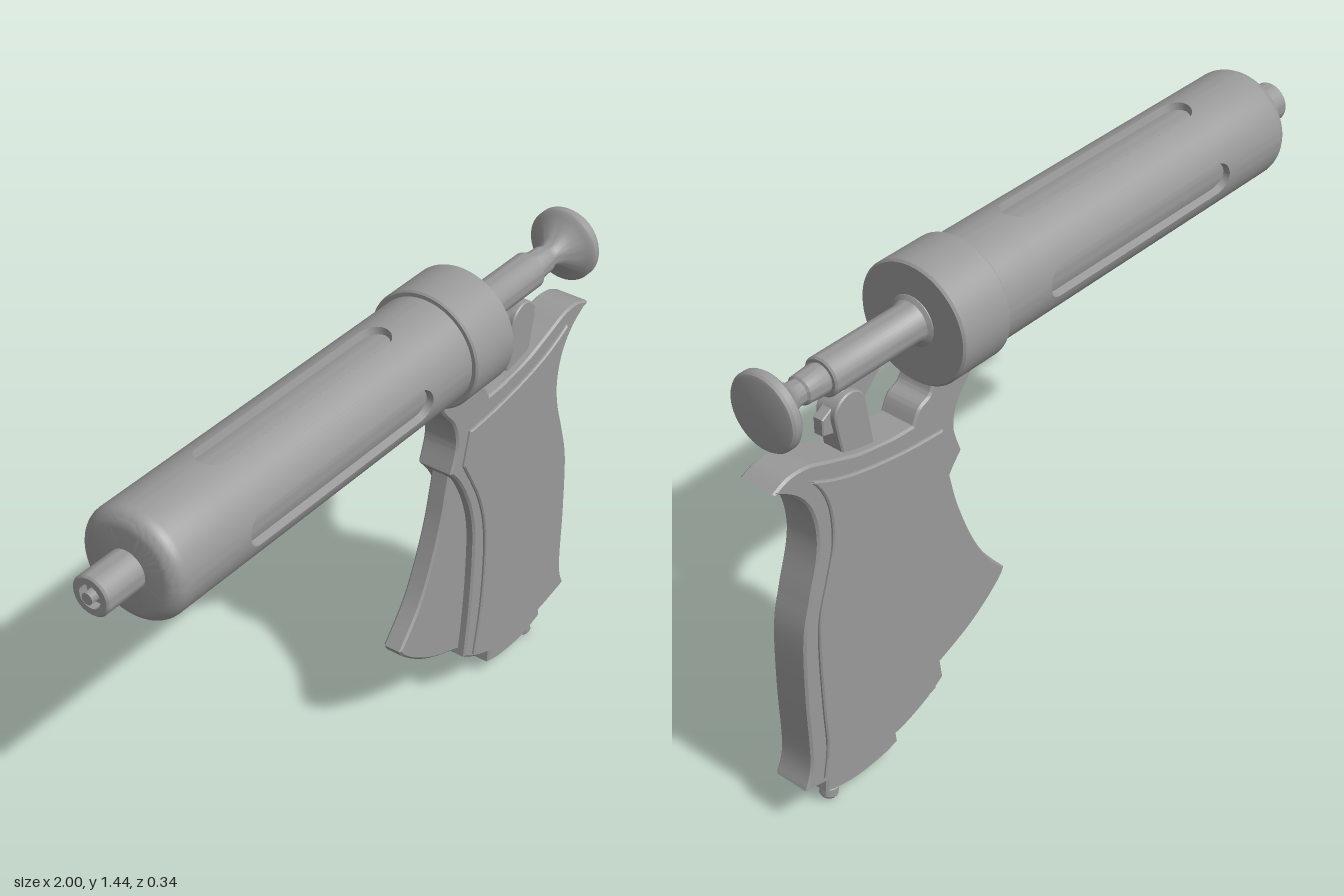
import * as THREE from 'three';
import { toCreasedNormals, mergeGeometries } from 'three/addons/utils/BufferGeometryUtils.js';
import { ParametricGeometry } from 'three/addons/geometries/ParametricGeometry.js';

const metal = new THREE.MeshStandardMaterial({ color: 0x999999 });
const metalDouble = new THREE.MeshStandardMaterial({ color: 0x999999, side: THREE.DoubleSide });

function part(name, geometry, material = metal) {
  const mesh = new THREE.Mesh(geometry, material);
  mesh.name = name;
  return mesh;
}

// Turned part along x; profile is [x, radius] running towards +x
function turned(name, profile, y = 0, segments = 96) {
  const geo = new THREE.LatheGeometry(profile.map(([x, r]) => new THREE.Vector2(r, x)), segments);
  geo.rotateZ(-Math.PI / 2);
  const mesh = part(name, toCreasedNormals(geo, 0.6));
  mesh.position.y = y;
  return mesh;
}

// Closed outline: smooth runs of points that meet at sharp corners
function outline(runs) {
  const shape = new THREE.Shape();
  shape.moveTo(...runs[0][0]);
  runs.forEach((run, i) => {
    const end = runs[(i + 1) % runs.length][0];
    const pts = [...run.slice(1), end].map(p => new THREE.Vector2(...p));
    if (pts.length === 1) shape.lineTo(...end);
    else shape.splineThru(pts);
  });
  return shape;
}

// Flat plate centred on z = 0 with a small crisp chamfer
function plate(name, shape, half, bevel = 0.006) {
  const geo = new THREE.ExtrudeGeometry(shape, {
    depth: 2 * (half - bevel), bevelThickness: bevel, bevelSize: bevel,
    bevelOffset: -bevel, bevelSegments: 1, curveSegments: 8,
  });
  geo.translate(0, 0, bevel - half);
  return part(name, toCreasedNormals(geo, 0.5));
}

// A quarter of the barrel wall with one round-ended slot cut through it
function slottedQuarter(R, inner, x0, x1) {
  const w = 0.045, ca = -0.555, cb = 0.08;
  const on = (x, s, r, out) => {
    const a = Math.asin(s / R);
    out.set(x, r * Math.cos(a), r * Math.sin(a));
  };
  const edge = Math.asin(w / R);
  const angle = t => Math.PI * (t - 0.5);
  const left = (u, v, out) => {
    const a = angle(u), xa = ca - w * Math.cos(a);
    on(x0 + (xa - x0) * v, w * Math.sin(a), R, out);
  };
  const right = (u, v, out) => {
    const a = angle(u), xb = cb + w * Math.cos(a);
    on(xb + (x1 - xb) * v, w * Math.sin(a), R, out);
  };
  const side = (u, v, out) => {
    const a = edge + (Math.PI / 2 - 2 * edge) * u;
    out.set(x0 + (x1 - x0) * v, R * Math.cos(a), R * Math.sin(a));
  };
  const rim = (u, v, out) => {
    const a = u * Math.PI * 2;
    on((Math.cos(a) < 0 ? ca : cb) + w * Math.cos(a), w * Math.sin(a), R + (inner - R) * v, out);
  };
  return mergeGeometries([
    new ParametricGeometry(left, 16, 1), new ParametricGeometry(right, 16, 1),
    new ParametricGeometry(side, 14, 1), new ParametricGeometry(rim, 50, 1),
  ]);
}

export function createModel() {
  const model = new THREE.Group();
  const axis = 1.276, R = 0.153, x0 = -0.64, x1 = 0.16;

  // Barrel: solid ends lapping under the slotted middle, and the inner tube seen in the slots
  const barrel = new THREE.Group();
  barrel.name = 'barrel';
  barrel.position.y = axis;
  const front = [[-0.863, 0], [-0.863, 0.109]];
  for (let i = 1; i <= 8; i++) {
    const a = (i / 8) * Math.PI / 2;
    front.push([-0.82 - 0.043 * Math.cos(a), 0.109 + 0.044 * Math.sin(a)]);
  }
  barrel.add(turned('barrelFront', [...front, [x0, R], [x0 + 0.02, R - 0.001]]));
  barrel.add(turned('barrelRear', [[x1 - 0.02, R - 0.001], [x1, R], [0.3, R]]));
  barrel.add(turned('innerTube', [[-0.7, 0.132], [0.2, 0.132]]));
  const quarter = slottedQuarter(R, 0.13, x0, x1);
  for (let i = 0; i < 4; i++) {
    const wall = part('slottedWall', quarter, metalDouble);
    wall.rotation.x = i * Math.PI / 2;
    barrel.add(wall);
  }
  // Nozzle with a recessed mouth and centre pin
  barrel.add(turned('nozzle', [[-1, 0], [-1, 0.016], [-0.965, 0.016], [-0.965, 0.032],
    [-0.99, 0.032], [-0.99, 0.05], [-0.985, 0.055], [-0.86, 0.055]], 0, 40));
  barrel.add(turned('collar', [[0.293, 0.14], [0.293, 0.164], [0.298, 0.169], [0.456, 0.169],
    [0.462, 0.163], [0.462, 0]]));
  model.add(barrel);

  // Plunger rod and thumb knob
  model.add(turned('plungerRod', [[0.455, 0.072], [0.464, 0.069], [0.471, 0.058], [0.483, 0.053],
    [0.772, 0.053], [0.777, 0.048], [0.777, 0]], 1.286, 40));
  model.add(turned('plungerKnob', [[0.77, 0.038], [0.785, 0.042], [0.845, 0.038], [0.85, 0.032],
    [0.872, 0.033], [0.89, 0.043], [0.91, 0.064], [0.932, 0.09], [0.936, 0.1], [0.942, 0.105],
    [0.96, 0.105], [0.967, 0.1], [0.97, 0.09], [0.97, 0]], 1.286, 48));

  // Grip frame, hung from the collar
  model.add(plate('gripFrame', outline([
    [[0.29, 1.16]],
    [[0.295, 1.12], [0.32, 1.08], [0.366, 1.02], [0.38, 0.95]],
    [[0.356, 0.87], [0.4, 0.815], [0.447, 0.72], [0.473, 0.61], [0.473, 0.45], [0.462, 0.3]],
    [[0.447, 0.18], [0.516, 0.14], [0.607, 0.11], [0.714, 0.098], [0.837, 0.11]],
    [[0.962, 0.137], [0.938, 0.22], [0.94, 0.425], [0.934, 0.61], [0.908, 0.72], [0.876, 0.826],
      [0.868, 0.906], [0.885, 0.987], [0.928, 1.05]],
    [[1, 1.1], [0.949, 1.12], [0.885, 1.118], [0.81, 1.092], [0.703, 1.056], [0.61, 1.04]],
    [[0.527, 1.035], [0.505, 1.075], [0.468, 1.094]],
    [[0.455, 1.12]],
    [[0.455, 1.16]],
  ]), 0.056));

  // Raised panel on both faces of the grip
  model.add(plate('gripPanels', outline([
    [[0.43, 0.975], [0.57, 0.987], [0.714, 1.013], [0.81, 1.042]],
    [[0.89, 1.08], [0.85, 1.024], [0.827, 0.95], [0.826, 0.853], [0.853, 0.757], [0.883, 0.66],
      [0.892, 0.56], [0.89, 0.37], [0.886, 0.24]],
    [[0.902, 0.145], [0.783, 0.122], [0.65, 0.126], [0.57, 0.144]],
    [[0.484, 0.17], [0.51, 0.32], [0.521, 0.48], [0.514, 0.61], [0.479, 0.73]],
    [[0.404, 0.874]],
  ]), 0.065, 0.004));

  // Trigger blade in front of the grip
  model.add(plate('trigger', outline([
    [[0.385, 0.85], [0.37, 0.78], [0.345, 0.68], [0.3, 0.56], [0.249, 0.463]],
    [[0.17, 0.366], [0.187, 0.34], [0.249, 0.29], [0.33, 0.243]],
    [[0.46, 0.192]],
    [[0.5, 0.3]],
    [[0.5, 0.7]],
  ]), 0.03));

  // Rocking lever with a rounded head, and the thin pawl that reaches the rod
  const lever = new THREE.Shape();
  lever.moveTo(0.635, 1.0);
  lever.lineTo(0.735, 1.0);
  lever.absarc(0.714, 1.172, 0.053, -0.1, Math.PI - 0.1, false);
  lever.closePath();
  model.add(plate('lever', lever, 0.033, 0.004));
  model.add(plate('pawl', outline([[[0.575, 1.245]], [[0.7, 1.12]], [[0.75, 1.12]],
    [[0.793, 1.132]], [[0.793, 1.178]], [[0.755, 1.2]], [[0.7, 1.245]]]), 0.016, 0.003));

  // Base latch and its screw
  model.add(plate('baseLatch', outline([[[0.615, 0.14]], [[0.605, 0.047], [0.66, 0.034],
    [0.75, 0.03], [0.81, 0.038]], [[0.872, 0.055]], [[0.862, 0.14]]]), 0.034));
  const screw = part('baseScrew', toCreasedNormals(new THREE.LatheGeometry(
    [[0, 0], [0.02, 0], [0.025, 0.007], [0.025, 0.03], [0.021, 0.034], [0.021, 0.06]]
      .map(p => new THREE.Vector2(...p)), 24), 0.6));
  screw.position.set(0.836, 0.004, 0);
  screw.rotation.z = 0.18;
  model.add(screw);

  return model;
}
